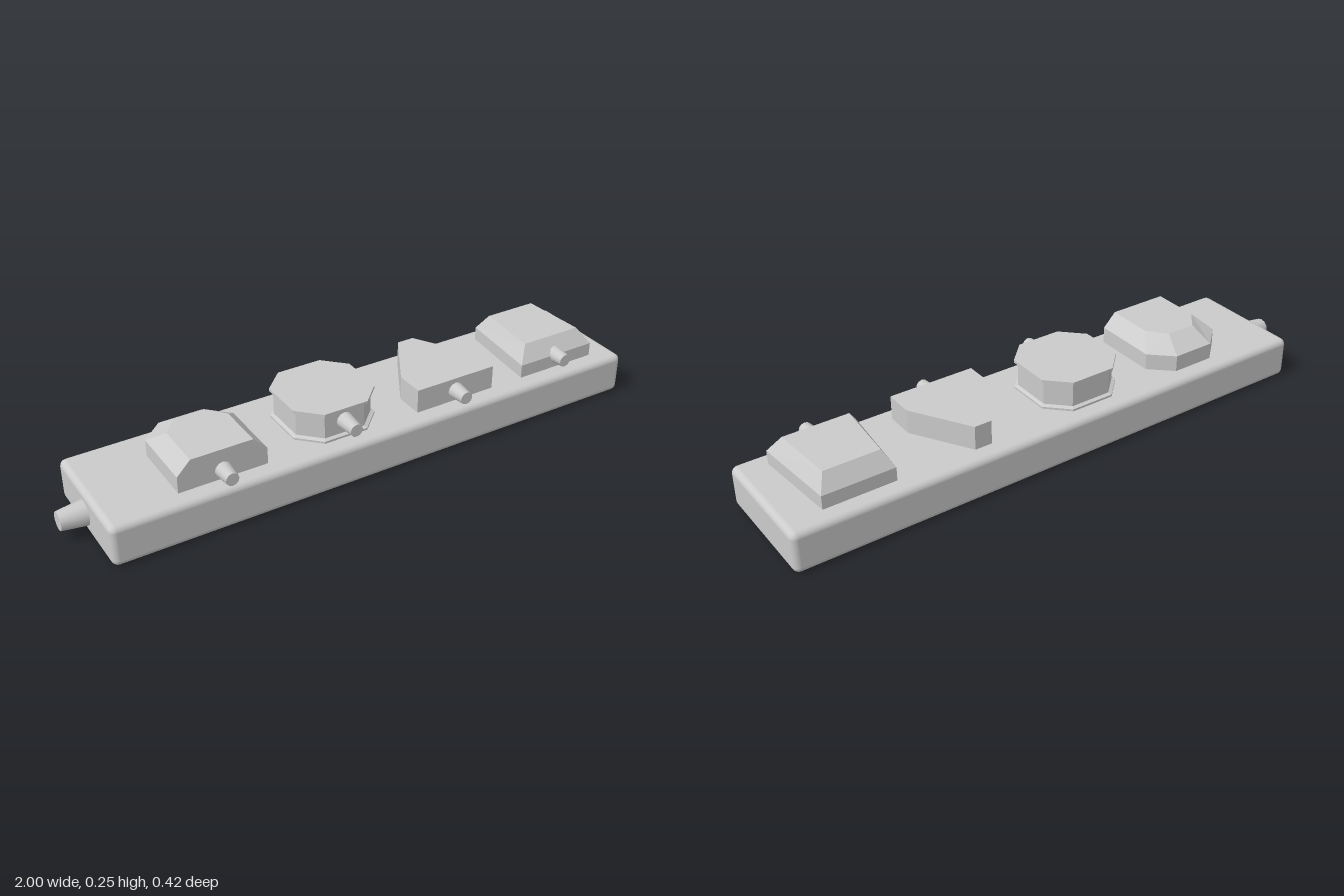
import * as THREE from 'three';
import { RoundedBoxGeometry } from 'three/addons/geometries/RoundedBoxGeometry.js';

const DECK = 0.143;
const smooth = new THREE.MeshStandardMaterial({ color: 0xcccccc });
const flat = new THREE.MeshStandardMaterial({ color: 0xcccccc, flatShading: true });

// Stack of horizontal outlines, each { y, pts: [[x, z], ...] }, counter-clockwise from above
function loft(rings) {
  const pos = [];
  const n = rings[0].pts.length;
  const put = (r, i) => pos.push(r.pts[i % n][0], r.y, r.pts[i % n][1]);
  for (let k = 0; k < rings.length - 1; k++) {
    const lo = rings[k], up = rings[k + 1];
    for (let i = 0; i < n; i++) {
      put(lo, i); put(lo, i + 1); put(up, i + 1);
      put(lo, i); put(up, i + 1); put(up, i);
    }
  }
  const top = rings[rings.length - 1], bottom = rings[0];
  for (let i = 1; i < n - 1; i++) {
    put(top, 0); put(top, i); put(top, i + 1);
    put(bottom, 0); put(bottom, i + 1); put(bottom, i);
  }
  const g = new THREE.BufferGeometry();
  g.setAttribute('position', new THREE.Float32BufferAttribute(pos, 3));
  g.computeVertexNormals();
  return g;
}

// Full outline from its right half (front to back), mirrored in x
const mirrored = (half) => [...half, ...half.map(([x, z]) => [-x, z]).reverse()];

// Octagon of half width h
function octagon(h) {
  const c = h * 0.52;
  return mirrored([[c, h], [h, c], [h, -c], [c, -h]]);
}

// Tapered cable stub along +z
function cord(r0, r1, length) {
  const g = new THREE.CylinderGeometry(r1, r0, length, 12);
  g.rotateX(Math.PI / 2);
  g.translate(0, 0, length / 2);
  return new THREE.Mesh(g, smooth);
}

export function createModel() {
  const model = new THREE.Group();

  // Strip body
  const body = new THREE.Mesh(new RoundedBoxGeometry(1.915, DECK, 0.42, 3, 0.022), smooth);
  body.name = 'stripBody';
  body.position.set(0.0425, DECK / 2, 0);
  model.add(body);

  // Supply cable at the end
  const supply = cord(0.043, 0.031, 0.095);
  supply.name = 'supplyCable';
  supply.rotation.y = -Math.PI / 2;
  supply.position.set(-0.905, 0.072, 0);
  model.add(supply);

  // Outlines of the four plugs
  const arch = mirrored([[0.15, 0.15], [0.15, -0.08], [0.075, -0.15]]);
  const archTop = mirrored([[0.104, 0.15], [0.104, -0.015], [0.052, -0.078]]);
  const wedge = mirrored([[0.15, 0.15], [0.15, 0.05], [0.03, -0.15]]);
  const trapezoid = mirrored([[0.15, 0.15], [0.122, -0.15]]);
  const trapezoidTop = mirrored([[0.112, 0.112], [0.094, -0.114]]);
  const wide = octagon(0.15), waist = octagon(0.139);

  const plugs = [
    { name: 'archedPlug', x: -0.525, cordY: 0.175, cordZ: 0.14,
      rings: [[DECK, arch], [0.2, arch], [0.247, archTop]] },
    { name: 'octagonalPlug', x: -0.095, cordY: 0.2, cordZ: 0.135,
      rings: [[DECK, wide], [0.15, wide], [0.155, waist], [0.238, waist], [0.24, wide], [0.25, wide]] },
    { name: 'wedgePlug', x: 0.325, cordY: 0.182, cordZ: 0.14,
      rings: [[DECK, wedge], [0.226, wedge]] },
    { name: 'taperedPlug', x: 0.75, cordY: 0.187, cordZ: 0.125,
      rings: [[DECK, trapezoid], [0.19, trapezoid], [0.245, trapezoidTop]] },
  ];

  for (const p of plugs) {
    const plug = new THREE.Group();
    plug.name = p.name;
    plug.position.x = p.x;
    const shell = new THREE.Mesh(loft(p.rings.map(([y, pts]) => ({ y, pts }))), flat);
    shell.name = 'plugShell';
    const lead = cord(0.029, 0.022, (p.name === 'taperedPlug' ? 0.196 : 0.212) - p.cordZ);
    lead.name = 'plugCord';
    lead.position.set(0, p.cordY, p.cordZ);
    plug.add(shell, lead);
    model.add(plug);
  }

  return model;
}
